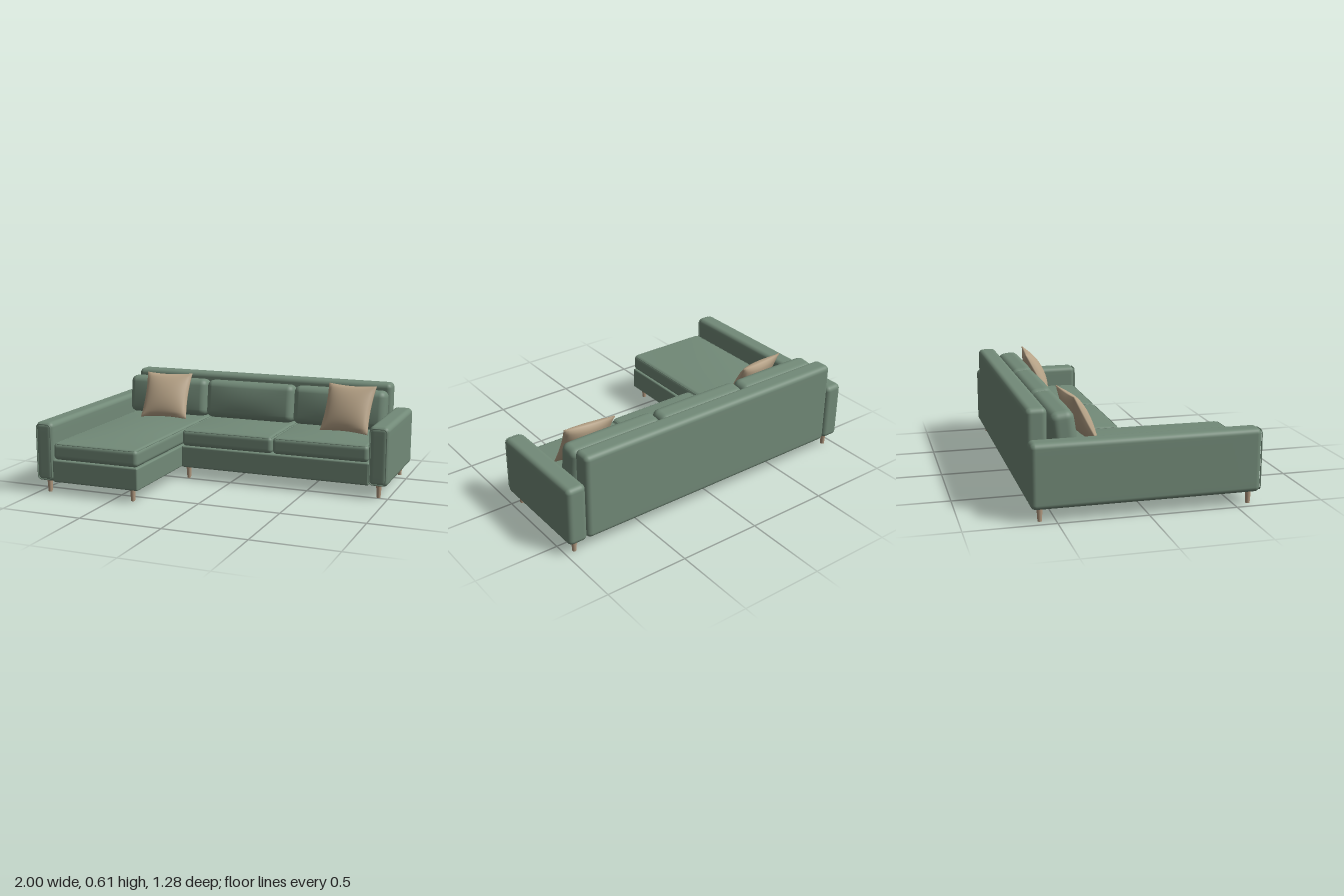
import * as THREE from 'three';
import { mergeVertices } from 'three/addons/utils/BufferGeometryUtils.js';

const material = (name, color) => {
  const m = new THREE.MeshStandardMaterial({ color });
  m.name = name;
  return m;
};

// Reshape a subdivided 2-unit box with a rule and smooth its normals
function reshape(segments, rule) {
  let g = new THREE.BoxGeometry(2, 2, 2, ...segments);
  g.deleteAttribute('uv');
  g.deleteAttribute('normal');
  g = mergeVertices(g);
  const p = g.attributes.position;
  const v = new THREE.Vector3();
  for (let i = 0; i < p.count; i++) {
    rule(v.fromBufferAttribute(p, i));
    p.setXYZ(i, v.x, v.y, v.z);
  }
  g.computeVertexNormals();
  return g;
}

// Rounded block, optionally puffed out on its top (crown.y) or front (crown.z)
function softBox(w, h, d, r, crown = {}) {
  const half = [w / 2, h / 2, d / 2];
  return reshape([16, 16, 16], (v) => {
    const core = new THREE.Vector3();
    const out = new THREE.Vector3();
    v.toArray().forEach((t, i) => {
      const inner = half[i] - r;
      const a = Math.abs(t);
      const s = Math.sign(t);
      core.setComponent(i, a > 0.5 ? s * inner : (t / 0.5) * inner);
      out.setComponent(i, a > 0.5 ? s * Math.tan((Math.PI / 4) * (a - 0.5) * 2) : 0);
    });
    v.copy(core).addScaledVector(out.normalize(), r);
    const [x, y, z] = v.toArray().map((c, i) => 1 - (c / half[i]) ** 2);
    if (crown.y && v.y > 0) v.y += crown.y * x * z * (v.y / half[1]);
    if (crown.z && v.z > 0) v.z += crown.z * x * y * (v.z / half[2]);
  });
}

// Square throw pillow with pinched edges
function pillowGeometry(size, thickness) {
  return reshape([20, 20, 1], (v) => {
    const { x, y, z } = v;
    const bulge = Math.pow((1 - x * x) * (1 - y * y), 0.6);
    v.set(
      x * (size / 2) * (1 - 0.07 * (1 - y * y)),
      y * (size / 2) * (1 - 0.07 * (1 - x * x)),
      z * (0.004 + (thickness / 2) * bulge)
    );
  });
}

// Thin cord following a rounded rectangle in the XY plane
function pipingGeometry(w, h, r, cord) {
  const x = w / 2, y = h / 2;
  const s = new THREE.Shape();
  s.absarc(x - r, y - r, r, 0, Math.PI / 2);
  s.absarc(-x + r, y - r, r, Math.PI / 2, Math.PI);
  s.absarc(-x + r, -y + r, r, Math.PI, Math.PI * 1.5);
  s.absarc(x - r, -y + r, r, Math.PI * 1.5, Math.PI * 2);
  const pts = s.getPoints(6).map((p) => new THREE.Vector3(p.x, p.y, 0));
  return new THREE.TubeGeometry(new THREE.CatmullRomCurve3(pts, true), 120, cord, 6, true);
}

export function createModel() {
  const green = material('green fabric', 0x728a78);
  const beige = material('beige fabric', 0xb8a488);
  const wood = material('light wood', 0xb39a80);

  const sofa = new THREE.Group();
  sofa.name = 'cornerSofa';
  const add = (name, geometry, mat, x, y, z) => {
    const m = new THREE.Mesh(geometry, mat);
    m.name = name;
    m.position.set(x, y, z);
    sofa.add(m);
    return m;
  };
  // Block given by its extents along each axis
  const block = (name, [x0, x1], [y0, y1], [z0, z1], r, crown) =>
    add(name, softBox(x1 - x0, y1 - y0, z1 - z0, r, crown), green,
      (x0 + x1) / 2, (y0 + y1) / 2, (z0 + z1) / 2);

  // Frame
  block('mainBase', [-0.325, 0.885], [0.075, 0.212], [-0.56, 0.02], 0.01);
  block('chaiseBase', [-0.89, -0.325], [0.075, 0.212], [-0.56, 0.635], 0.01);
  block('backrest', [-0.887, 0.88], [0.075, 0.595], [-0.64, -0.525], 0.03);

  // Arms with piped front panels
  for (const [name, x0, x1, front] of [
    ['rightArm', -1, -0.885, 0.635],
    ['leftArm', 0.88, 1, 0.03],
  ]) {
    block(name, [x0, x1], [0.075, 0.435], [-0.64, front], 0.03);
    add(name + 'Piping', pipingGeometry(x1 - x0 - 0.022, 0.336, 0.022, 0.004), green,
      (x0 + x1) / 2, 0.255, front);
  }

  // Seat and back cushions, one pair per place
  for (const [name, x0, x1, front] of [
    ['chaise', -0.883, -0.327, 0.635],
    ['middle', -0.323, 0.276, 0.02],
    ['left', 0.28, 0.878, 0.02],
  ]) {
    const mid = (x0 + x1) / 2;
    block(name + 'SeatCushion', [x0, x1], [0.212, 0.314], [-0.53, front], 0.025, { y: 0.016 });
    const seam = add(name + 'SeatPiping',
      pipingGeometry(x1 - x0 - 0.016, front + 0.514, 0.02, 0.003), green,
      mid, 0.308, (front - 0.53) / 2);
    seam.rotation.x = Math.PI / 2;
    const back = add(name + 'BackCushion',
      softBox(x1 - x0, 0.245, 0.13, 0.042, { z: 0.02 }), green, mid, 0.443, -0.433);
    back.rotation.x = -0.12;
  }

  // Throw pillows leaning on the back cushions
  for (const [name, x, yaw] of [['rightPillow', -0.57, 0.1], ['leftPillow', 0.667, -0.1]]) {
    const pillow = add(name, pillowGeometry(0.312, 0.1), beige, x, 0.468, -0.292);
    pillow.rotation.set(-0.48, yaw, 0, 'YXZ');
  }

  // Tapered legs
  const legShape = new THREE.CylinderGeometry(0.017, 0.012, 0.08, 16);
  for (const [x, z] of [
    [-0.94, 0.585], [-0.38, 0.585], [-0.29, -0.02],
    [0.94, -0.02], [0.94, -0.585], [-0.94, -0.585],
  ]) add('leg', legShape, wood, x, 0.04, z);

  return sofa;
}
